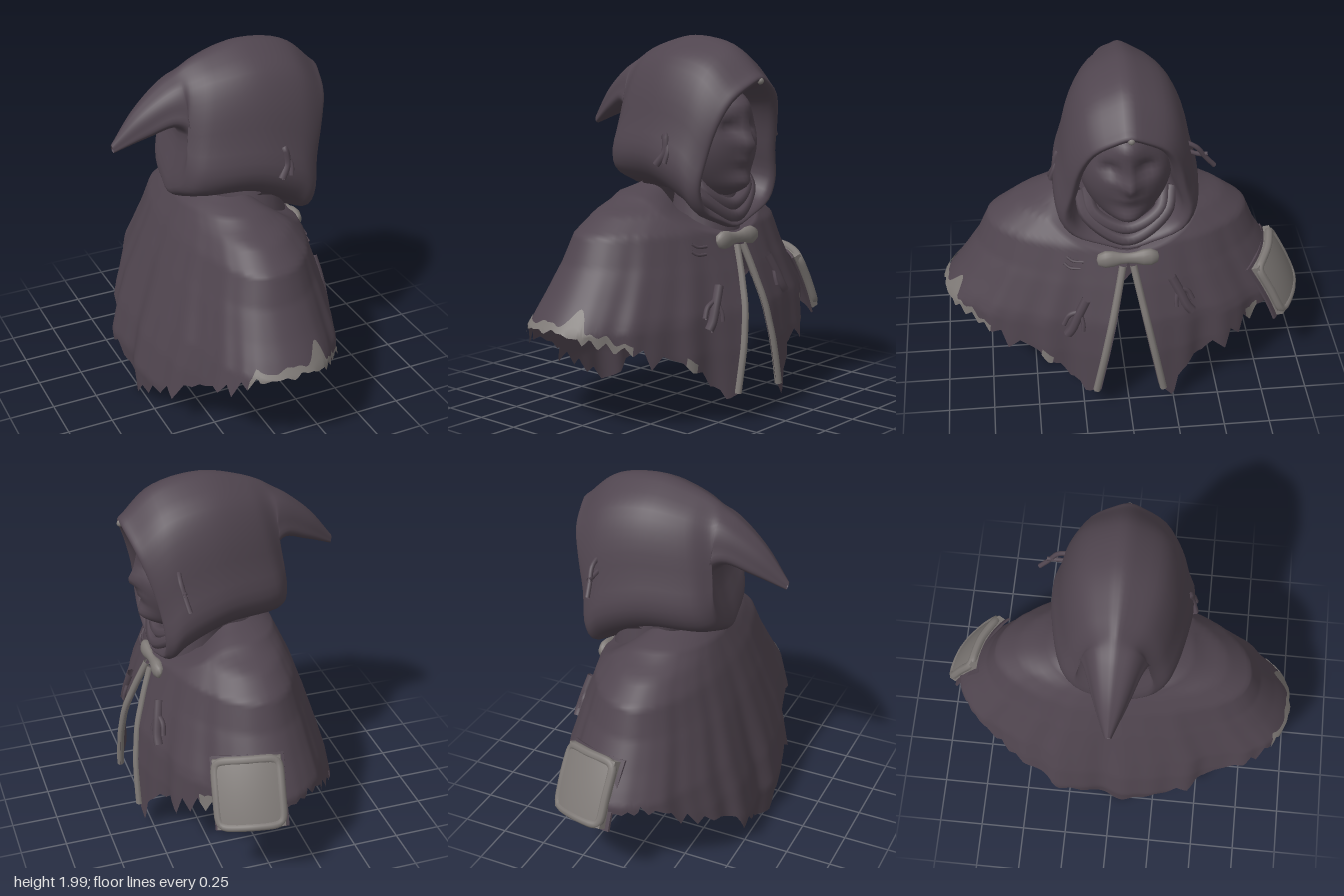
import * as THREE from 'three';
import { mergeVertices } from 'three/addons/utils/BufferGeometryUtils.js';

const V = (x, y, z) => new THREE.Vector3(x, y, z);
const mat = (name, color) => new THREE.MeshStandardMaterial({ name, color, side: THREE.DoubleSide });
const cloth = mat('dark plum cloth', 0x50454f);
const trim = mat('worn grey trim', 0x7e7976);

// piecewise linear lookup
function look(table, x) {
  if (x <= table[0][0]) return table[0][1];
  for (let i = 1; i < table.length; i++) {
    const [a, p] = table[i - 1], [b, q] = table[i];
    if (x <= b) return p + (q - p) * (x - a) / (b - a);
  }
  return table[table.length - 1][1];
}

let seed = 11;
const rand = () => (seed = (seed * 16807) % 2147483647) / 2147483647;
const teeth = Array.from({ length: 47 }, () => 0.1 * rand());

// grid surface from fn(u, v); coincident seam points are welded
function surface(nu, nv, fn) {
  const pos = [], idx = [];
  for (let j = 0; j <= nv; j++) for (let i = 0; i <= nu; i++) pos.push(...fn(i / nu, j / nv).toArray());
  for (let j = 0; j < nv; j++) for (let i = 0; i < nu; i++) {
    const a = j * (nu + 1) + i, b = a + nu + 1;
    idx.push(a, a + 1, b, a + 1, b + 1, b);
  }
  let g = new THREE.BufferGeometry();
  g.setAttribute('position', new THREE.Float32BufferAttribute(pos, 3));
  g.setIndex(idx);
  g = mergeVertices(g, 1e-5);
  g.computeVertexNormals();
  return g;
}

// cape: u runs round from the front opening, v from neck to ragged hem
const hemLine = [[0, .14], [5, .11], [11, .23], [20, .32], [40, .44], [67, .52], [85, .56],
  [110, .53], [130, .41], [148, .28], [160, .19], [171, .08], [180, -.01]];
const sideR = [[0, 1], [.55, .985], [.62, .94], [.7, .885], [.85, .79], [1, .725], [1.1, .58], [1.14, .47], [1.2, .36], [1.25, .3]];
const frontR = [[.1, .59], [.4, .57], [.6, .54], [.8, .475], [1, .4], [1.2, .26], [1.25, .22]];
const backR = [[0, .51], [.2, .53], [.4, .49], [.6, .43], [.8, .37], [1, .3], [1.2, .21], [1.25, .18]];
function capePoint(u, v, out = 0) {
  const a = u * Math.PI * 2;
  const deg = Math.abs(u > .5 ? 360 - u * 360 : u * 360);
  const top = 1.22 - .2 * Math.max(0, Math.cos(a)) ** 3;
  const k = u * 46, i = Math.floor(k), f = Math.abs(k - i - .5) * 2;
  const jag = (teeth[i] * (1 - f) - .03) * (deg > 70 && deg < 108 ? .3 : 1);
  const dip = u > .5 ? .09 * Math.exp(-(((deg - 76) / 22) ** 2)) : 0;
  const y = Math.max(.01, top + (look(hemLine, deg) - dip - top) * v - jag * v ** 8);
  const rz = look(sideR, y) * (u > .5 ? .94 : 1);
  const gap = y > .92 ? 0 : .008 + .2 * (.92 - y);
  const t0 = Math.asin(gap / rz);
  const t = t0 + u * (Math.PI * 2 - 2 * t0);
  const c = Math.cos(t), s = Math.sin(t), ss = s * s;
  const pleat = v * (1 - .75 * ss) * (.03 * Math.sin(9 * t + 1) + .025 * Math.sin(17 * t) + .012 * Math.sin(31 * t));
  // flatter front shoulders, squarer left back; neck edge tucked under the hood
  const square = c > 0 ? 1 - .1 * v * Math.sin(2 * t) ** 2 : u < .5 ? 1 + .7 * v * ss * (ss - .4) : 1;
  const tuck = 1 - .3 * Math.max(0, 1 - v / .05);
  const rx = (c > 0 ? look(frontR, y) : look(backR, y)) * square;
  return V(c * rx * tuck * (1 + pleat + out), y, s * rz * tuck * (1 + pleat * (1 - ss) + out));
}

// smooth skin through closed rings of equal point count
function loft(rings, nu, nv) {
  const loops = rings.map(r => new THREE.CatmullRomCurve3(r, true, 'centripetal').getPoints(nu));
  const spines = loops[0].map((_, i) => new THREE.CatmullRomCurve3(loops.map(l => l[i]), false, 'centripetal').getPoints(nv));
  return surface(nu, nv, (u, v) => spines[Math.round(u * nu) % nu][Math.round(v * nv)]);
}

// hood ring between a top and bottom point, w = half width
const hoodShape = [[.05, .4], [.14, .85], [.28, 1], [.48, .9], [.7, .78], [.87, .57], [.96, .25]];
function hoodRing([xt, yt, xb, yb, w, bow]) {
  const p = (s, k) => V(xb + (xt - xb) * s - bow * Math.sin(Math.PI * s), yb + (yt - yb) * s, k * w);
  return [p(0, 0), ...hoodShape.map(([s, k]) => p(s, k)), p(1, 0), ...hoodShape.slice().reverse().map(([s, k]) => p(s, -k))];
}

export function createModel() {
  const g = new THREE.Group();
  g.name = 'hoodedCape';
  const add = (name, geo, m = cloth, parent = g) => {
    const mesh = new THREE.Mesh(geo, m);
    mesh.name = name;
    parent.add(mesh);
    return mesh;
  };
  const tube = (name, pts, r, m = cloth, n = 16) =>
    add(name, new THREE.TubeGeometry(new THREE.CatmullRomCurve3(pts), n, r, 7), m);

  add('cape', surface(276, 40, (u, v) => capePoint(u, v)));

  // hood with turned-in rim and drooping point
  add('hood', loft([
    [.2, 1.73, .15, 1.1, .24, 0], [.49, 1.745, .36, 1.06, .275, .05], [.55, 1.765, .41, 1.03, .295, .05],
    [.57, 1.79, .42, 1.01, .325, .05], [.53, 1.83, .38, 1.0, .355, .04], [.38, 1.955, .3, 1.06, .375, .01],
    [.13, 2.0, .08, 1.16, .365, 0], [-.08, 1.955, -.25, 1.18, .285, 0], [-.19, 1.91, -.3, 1.22, .21, 0],
    [-.25, 1.87, -.23, 1.54, .175, 0], [-.33, 1.82, -.28, 1.595, .145, 0],
    [-.47, 1.7, -.42, 1.555, .09, 0], [-.6, 1.535, -.59, 1.49, .018, 0],
  ].map(hoodRing), 48, 64));

  // head, with brow, eye sockets, nose, lips and chin pushed out of a sphere
  const head = new THREE.SphereGeometry(1, 48, 36);
  const hp = head.attributes.position;
  const bump = (y, z, cy, cz, sy, sz) => Math.exp(-(((y - cy) / sy) ** 2) - ((z - cz) / sz) ** 2);
  for (let i = 0; i < hp.count; i++) {
    let x = hp.getX(i) * .23 + .25;
    const y = hp.getY(i) * .31 + 1.455;
    let z = hp.getZ(i) * .24;
    if (hp.getX(i) > 0) {
      x += .05 * bump(y, z, 1.44, 0, .05, .035) + .025 * bump(y, z, 1.53, 0, .06, .025)
        + .02 * bump(y, z, 1.36, 0, .02, .06) - .02 * bump(y, z, 1.39, 0, .01, .06)
        + .07 * bump(y, z, 1.23, 0, .06, .1) + .05 * bump(y, z, 1.66, 0, .07, .09);
      for (const e of [-.09, .09]) x -= .045 * bump(y, z, 1.53, e, .04, .05);
    }
    if (y < 1.4) z *= 1 - .25 * (1.4 - y);
    hp.setXYZ(i, x, y, z);
  }
  head.computeVertexNormals();
  add('face', head);
  const neck = add('neck', new THREE.CylinderGeometry(.15, .2, .3, 20, 1, true));
  neck.position.set(.2, 1.1, 0);

  // collar folds sagging under the chin
  [[.24, 1.22, 1.06, .4], [.2, 1.24, 1.12, .38]].forEach(([w, y0, y1, x]) =>
    tube('collarFold', [V(.25, y0 + .06, w), V(.34, y0 - .04, w * .85), V(x, y1, 0), V(.34, y0 - .04, -w * .85), V(.25, y0 + .06, -w)], .035, cloth, 28));

  // grey edging down both sides of the opening
  for (const side of [0, 1])
    tube('openingTrim', Array.from({ length: 12 }, (_, i) => capePoint(Math.abs(side - .004), .12 + .87 * i / 11, .008)), .02, trim, 32);

  // bone-shaped clasp
  const clasp = new THREE.LatheGeometry([[0, -.165], [.033, -.157], [.05, -.12], [.047, -.08], [.035, -.04], [.031, 0],
    [.035, .04], [.047, .08], [.05, .12], [.033, .157], [0, .165]].map(p => new THREE.Vector2(...p)), 16);
  clasp.rotateX(Math.PI / 2);
  clasp.scale(.7, 1, 1);
  add('clasp', clasp, trim).position.set(.415, .945, 0);

  // worn pale areas along the hem: range, depth, and a taller stain
  for (const [u0, u1, depth, peak, rise] of [[.12, .315, .07, .2, .13], [.05, .062, .05, .056, .02], [.868, .888, .06, .878, .03]])
    add('wornHem', surface(60, 5, (a, b) => {
      const u = u0 + (u1 - u0) * a;
      const v0 = 1 - depth * (.85 + .25 * Math.sin(u * 130)) - rise * Math.exp(-(((u - peak) / .014) ** 2));
      return capePoint(u, v0 + (1 - v0) * b, .008);
    }), trim);

  // worn spots on the hood rim
  for (const [x, y, z] of [[.562, 1.775, 0], [.395, 1.25, .33]]) {
    const spot = add('rimSpot', new THREE.SphereGeometry(.018, 10, 8), trim);
    spot.position.set(x, y, z);
  }

  // shoulder patch: plate curved over the arm, with raised border and cloth backing
  const patch = new THREE.Group();
  patch.name = 'shoulderPatch';
  g.add(patch);
  const bend = (x, y) => -1.1 * x * x - .3 * y * y;
  const bentPlate = (w, h, d, z) => {
    const geo = new THREE.BoxGeometry(w, h, d, 10, 10, 1), p = geo.attributes.position;
    for (let i = 0; i < p.count; i++) p.setZ(i, p.getZ(i) + z + bend(p.getX(i), p.getY(i)));
    geo.computeVertexNormals();
    return geo;
  };
  add('patchPlate', bentPlate(.35, .36, .04, 0), trim, patch);
  add('patchBacking', bentPlate(.38, .385, .012, -.032), cloth, patch);
  const border = [];
  for (let i = 0; i < 40; i++) {
    const a = i / 40 * Math.PI * 2, c = Math.cos(a), s = Math.sin(a);
    const x = .165 * Math.sign(c) * Math.abs(c) ** .25, y = .17 * Math.sign(s) * Math.abs(s) ** .25;
    border.push(V(x, y, bend(x, y) + .005));
  }
  add('patchBorder', new THREE.TubeGeometry(new THREE.CatmullRomCurve3(border, true), 80, .024, 8, true), trim, patch);
  patch.position.set(.165, .605, -.88);
  patch.lookAt(.165 + .35, .605 + .43, -.88 - .83);
  patch.rotateZ(.12);

  // forked rags on the chest
  for (const [u, v, d] of [[.036, .38, 1], [.955, .28, -1]]) {
    const at = (du, dv) => capePoint(u + du * d, v + dv, .015);
    tube('ragStem', [at(-.002, 0), at(.001, .12), at(.003, .24), at(.006, .3)], .026);
    tube('ragFork', [at(.002, .1), at(.01, .16), at(.012, .24)], .014);
    tube('ragFork', [at(0, .1), at(-.006, .16), at(-.008, .2)], .012);
  }
  // small slashes above the left rag
  for (const dv of [0, .05])
    tube('slash', [capePoint(.05, .16 + dv, .004), capePoint(.062, .18 + dv, .01), capePoint(.07, .17 + dv, .004)], .008);

  // torn strips on the hood sides
  tube('hoodRag', [V(.21, 1.47, .325), V(.22, 1.5, .345), V(.23, 1.42, .36), V(.19, 1.35, .385)], .02);
  tube('hoodRag', [V(.22, 1.48, .34), V(.25, 1.42, .365), V(.245, 1.36, .385)], .014);
  tube('hoodSlash', [V(.21, 1.57, .31), V(.25, 1.55, .32)], .01);
  tube('hoodStrip', [V(.34, 1.62, -.27), V(.35, 1.58, -.35), V(.34, 1.51, -.4), V(.33, 1.45, -.45)], .013);
  tube('hoodStrip', [V(.33, 1.55, -.3), V(.34, 1.53, -.37), V(.34, 1.53, -.41)], .012);

  return g;
}
